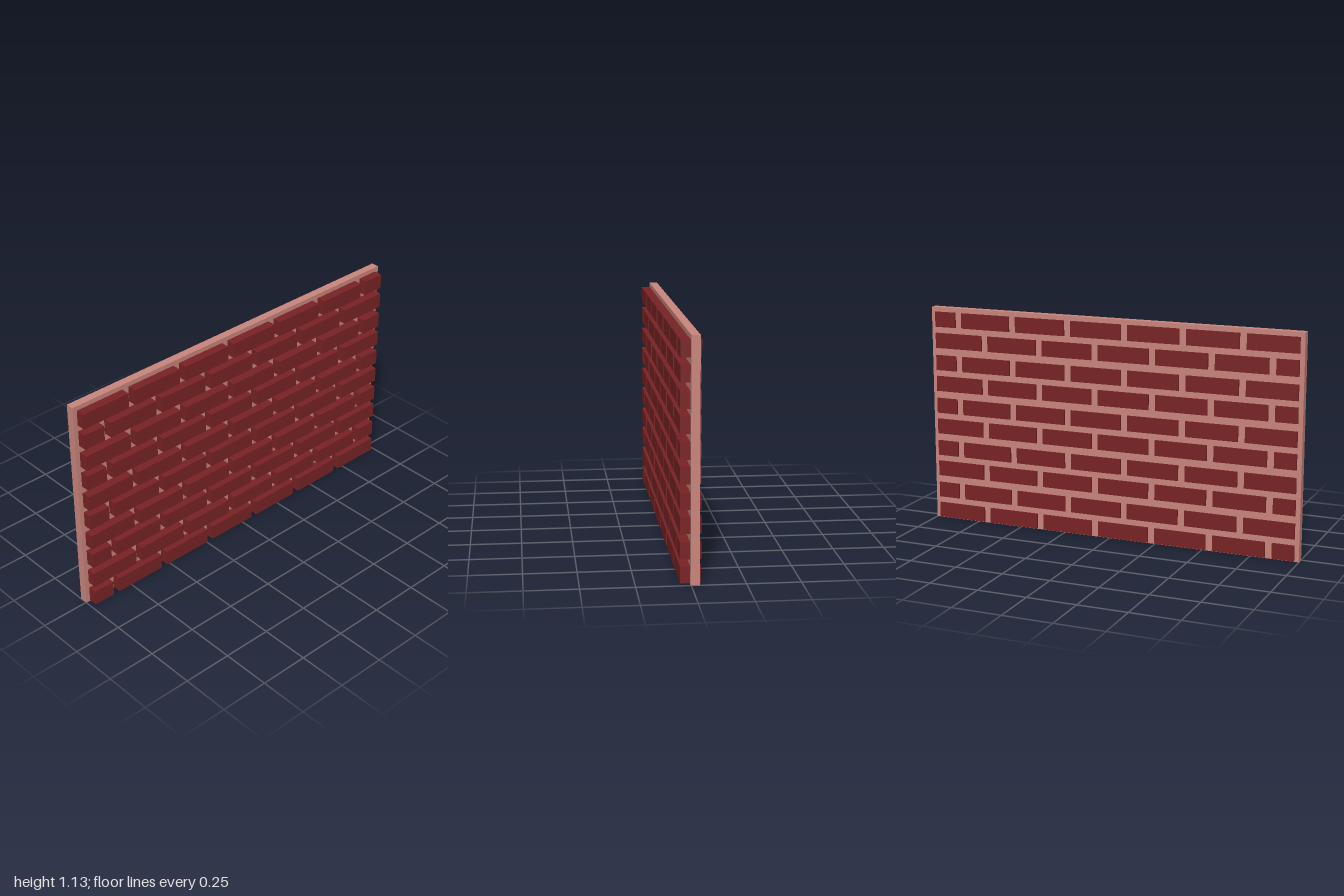
import * as THREE from 'three';

const brickRed = new THREE.MeshStandardMaterial({ name: 'brickRed', color: 0x782224 });
const mortarPink = new THREE.MeshStandardMaterial({ name: 'mortarPink', color: 0xc8857c });

// Box given by its minimum and maximum corners
function boxBetween(name, material, [x0, y0, z0], [x1, y1, z1]) {
  const mesh = new THREE.Mesh(new THREE.BoxGeometry(x1 - x0, y1 - y0, z1 - z0), material);
  mesh.name = name;
  mesh.position.set((x0 + x1) / 2, (y0 + y1) / 2, (z0 + z1) / 2);
  return mesh;
}

export function createModel() {
  const wall = new THREE.Group();
  wall.name = 'brickWall';

  // Mortar slab
  wall.add(boxBetween('mortarSlab', mortarPink, [-1, 0, -0.038], [1, 1.132, 0.003]));

  // Courses of bricks in running bond, cut off at both ends and poking out of both faces
  const rows = 10, pitch = 0.308, length = 0.272, height = 0.079, edge = 0.977;
  for (let row = 0; row < rows; row++) {
    const odd = row % 2;
    const course = new THREE.Group();
    course.name = `course${row + 1}`;
    const y = 0.004 + row * 0.1143 - odd * 0.003;
    const start = odd ? -0.987 : -1.136;
    for (let i = 0; i < 7; i++) {
      const x = start + i * pitch;
      const x0 = Math.max(x, -edge);
      const x1 = Math.min(x + length, edge);
      course.add(boxBetween('brick', brickRed, [x0, y, -0.047], [x1, y + height, 0.049]));
    }
    wall.add(course);
  }
  return wall;
}
